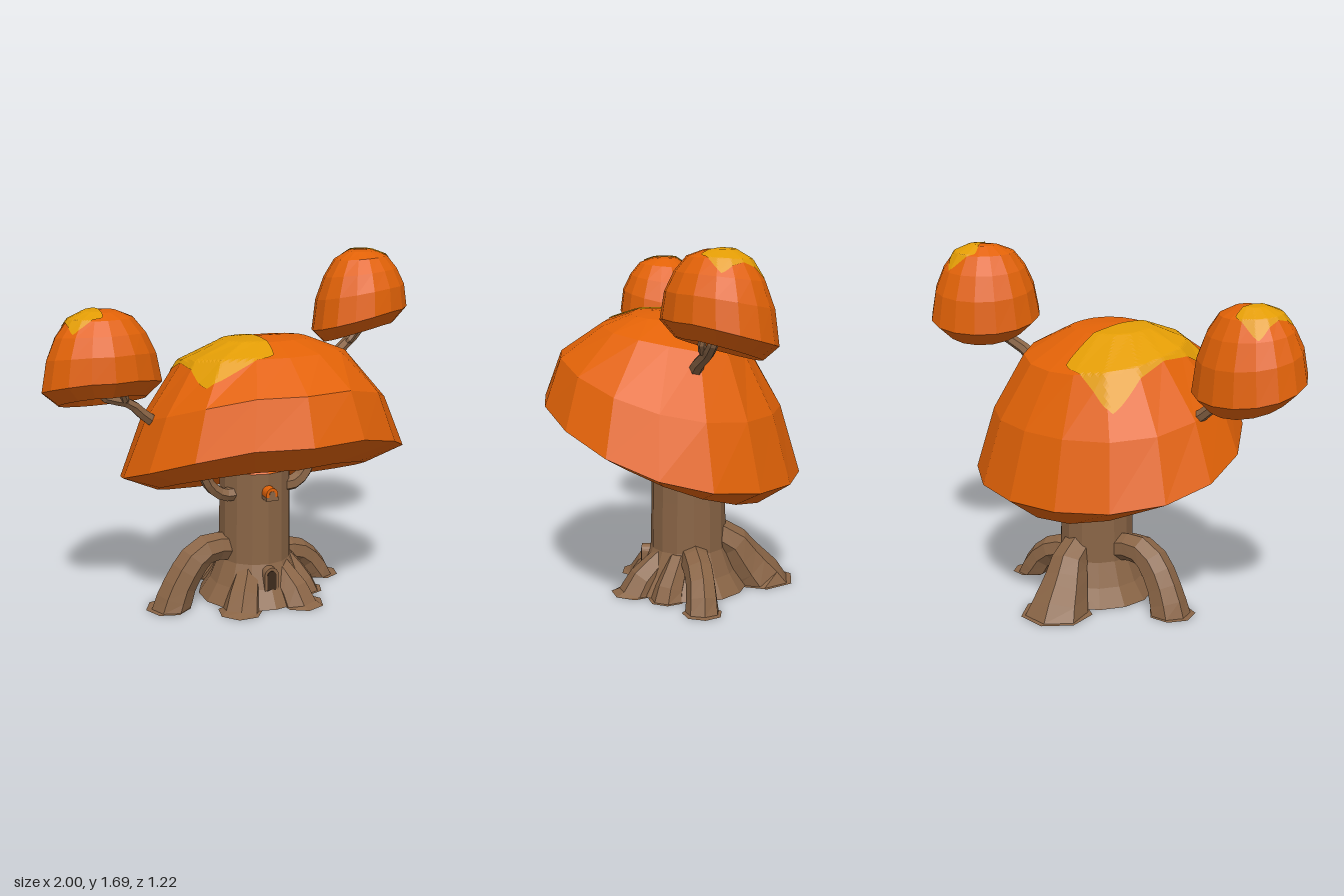
import * as THREE from 'three';

const mat = (name, color, double) => {
  const m = new THREE.MeshStandardMaterial({ color, flatShading: true });
  m.name = name;
  if (double) m.side = THREE.DoubleSide;
  return m;
};

// Closed dome from rings [rx, rz, y, tilt, sag, zOffset, squareness], hollow centre to crown;
// the raised front edge is kept level
function domeGeometry(rings, sides) {
  const pos = [], index = [];
  for (const [rx, rz, y, tilt = 0, sag = 0, z0 = 0, square = 0] of rings) {
    for (let j = 0; j < sides; j++) {
      const t = (j / sides) * Math.PI * 2, c = Math.min(Math.cos(t), 0.92);
      const f = 1 + square * Math.sin(2 * t) ** 2;
      pos.push(Math.sin(t) * rx * f, y + tilt * c + sag * c * c, z0 + Math.cos(t) * rz * f);
    }
  }
  for (let i = 0; i < rings.length - 1; i++) {
    for (let j = 0; j < sides; j++) {
      const k = (j + 1) % sides;
      const a = i * sides + j, b = i * sides + k, c = a + sides, d = b + sides;
      index.push(a, b, d, a, d, c);
    }
  }
  const g = new THREE.BufferGeometry();
  g.setAttribute('position', new THREE.Float32BufferAttribute(pos, 3));
  g.setIndex(index);
  g.computeVertexNormals();
  return g;
}

// Thin patch draped over a dome
function drapedPatch(dome, x, z, w, d) {
  const g = new THREE.PlaneGeometry(w, d, 30, 40).rotateX(-Math.PI / 2);
  const p = g.attributes.position, ray = new THREE.Raycaster();
  const down = new THREE.Vector3(0, -1, 0);
  for (let i = 0; i < p.count; i++) {
    const u = p.getX(i) / (w / 2), v = p.getZ(i) / (d / 2);
    const px = x + p.getX(i) * (1 - 0.1 * v ** 6), pz = z + p.getZ(i) * (1 - 0.06 * u ** 6);
    ray.set(new THREE.Vector3(px, 5, pz), down);
    const hit = ray.intersectObject(dome)[0];
    p.setXYZ(i, px, (hit ? hit.point.y : 0) + 0.006, pz);
  }
  g.computeVertexNormals();
  return g;
}

// Tapered limb along points [x, y, z, radius], closed at both ends, cut flat at the ground
function limbGeometry(points, sides = 7) {
  const curve = new THREE.CatmullRomCurve3(points.map(([x, y, z]) => new THREE.Vector3(x, y, z)));
  const n = points.length - 1, seg = n * 2;
  const g = new THREE.TubeGeometry(curve, seg, 1, sides, false);
  const p = g.attributes.position, v = new THREE.Vector3();
  for (let i = 0; i <= seg; i++) {
    const c = curve.getPointAt(i / seg);
    const f = (i / seg) * n, k = Math.min(Math.floor(f), n - 1);
    const r = i === 0 || i === seg ? 0 : THREE.MathUtils.lerp(points[k][3], points[k + 1][3], f - k);
    for (let j = 0; j <= sides; j++) {
      const id = i * (sides + 1) + j;
      v.fromBufferAttribute(p, id).sub(c).multiplyScalar(r).add(c);
      p.setXYZ(id, v.x, Math.max(v.y, 0.004), v.z);
    }
  }
  g.computeVertexNormals();
  return g;
}

// Round-topped slab standing on y = 0
function archGeometry(halfWidth, height, depth) {
  const s = new THREE.Shape();
  s.moveTo(-halfWidth, 0);
  s.lineTo(halfWidth, 0);
  s.lineTo(halfWidth, height - halfWidth);
  s.absarc(0, height - halfWidth, halfWidth, 0, Math.PI, false);
  s.closePath();
  return new THREE.ExtrudeGeometry(s, { depth, bevelEnabled: false, curveSegments: 6 });
}

export function createModel() {
  const model = new THREE.Group();
  model.name = 'mushroomTree';
  const orange = mat('orange cap', 0xe26207);
  const yellow = mat('yellow patch', 0xe29c05, true);
  const bark = mat('brown bark', 0x8a6546);
  const dark = mat('dark opening', 0x3d2b1d);

  const add = (name, geometry, material, parent = model) => {
    const m = new THREE.Mesh(geometry, material);
    m.name = name;
    parent.add(m);
    return m;
  };

  // Main cap
  const mainCap = new THREE.Group();
  mainCap.name = 'mainCap';
  mainCap.position.x = 0.1;
  model.add(mainCap);
  const mainDome = add('mainDome', domeGeometry([
    [0, 0, 0.74],
    [0.17, 0.15, 0.75, 0.05],
    [0.31, 0.275, 0.72, 0.1],
    [0.52, 0.445, 0.63, 0.168],
    [0.706, 0.608, 0.7, 0.188, 0.068, 0.003],
    [0.595, 0.52, 0.97, 0.135, 0.065, 0.01, 0.02],
    [0.4, 0.345, 1.235, 0.065, -0.01, -0.015, 0.06],
    [0.21, 0.16, 1.325, 0.012, 0, 0.03, 0.08],
    [0, 0, 1.342, 0, 0, 0.04],
  ], 16), orange, mainCap);
  add('mainPatch', drapedPatch(mainDome, -0.23, -0.005, 0.36, 0.65), yellow, mainCap);

  // Two small caps on branches
  const smallCap = (name, position, yaw, side) => {
    const cap = new THREE.Group();
    cap.name = name;
    const dome = add('smallDome', domeGeometry([
      [0, 0, 0.02],
      [0.13, 0.11, 0, 0.03],
      [0.2, 0.175, -0.065, 0.06],
      [0.276, 0.235, 0, 0.068, 0.005],
      [0.25, 0.22, 0.14, 0.045],
      [0.207, 0.18, 0.24, 0.025],
      [0.15, 0.13, 0.315, 0.01],
      [0.075, 0.065, 0.348],
      [0, 0, 0.354],
    ], 16), orange, cap);
    add('smallPatch', drapedPatch(dome, side * 0.085, -0.005, 0.15, 0.24), yellow, cap);
    cap.position.set(...position);
    cap.rotation.y = yaw;
    model.add(cap);
  };
  smallCap('rightSmallCap', [-0.724, 1.172, 0.11], 0, -1);
  smallCap('leftSmallCap', [0.742, 1.33, -0.245], 0.7, 1);

  // Trunk with flared foot, and the collar under the cap
  const trunk = add('trunk', new THREE.LatheGeometry([
    [0, 0.004], [0.285, 0.004], [0.228, 0.09], [0.182, 0.205], [0.178, 0.45], [0.176, 0.67], [0, 0.67],
  ].map(([x, y]) => new THREE.Vector2(x, y)), 14), bark);
  trunk.position.set(0.095, 0, -0.075);
  const collar = add('collar', new THREE.CylinderGeometry(0.13, 0.182, 0.06, 14), orange);
  collar.position.set(0.095, 0.7, -0.075);

  // Roots
  [
    ['rightRoot', [[0.02, 0.24, -0.07, 0.07], [-0.1, 0.275, -0.05, 0.07], [-0.21, 0.265, -0.03, 0.08],
      [-0.29, 0.18, -0.02, 0.085], [-0.35, 0.06, -0.02, 0.1], [-0.4, -0.16, -0.02, 0.13]]],
    ['leftRoot', [[0.15, 0.17, -0.1, 0.08], [0.27, 0.18, -0.12, 0.07], [0.38, 0.14, -0.15, 0.07],
      [0.46, 0.05, -0.165, 0.08], [0.53, -0.16, -0.17, 0.11]]],
    ['backRoot', [[0.09, 0.26, -0.15, 0.08], [0.07, 0.23, -0.26, 0.09], [0.03, 0.1, -0.34, 0.12],
      [0, 0, -0.4, 0.16], [-0.01, -0.2, -0.43, 0.19]]],
    ['frontRightRoot', [[0.05, 0.22, -0.04, 0.05], [0.005, 0.13, 0.05, 0.07], [-0.05, 0.03, 0.13, 0.095],
      [-0.09, -0.16, 0.18, 0.13]]],
    ['frontLeftRoot', [[0.15, 0.22, -0.03, 0.05], [0.19, 0.13, 0.06, 0.07], [0.23, 0.03, 0.14, 0.095],
      [0.26, -0.16, 0.19, 0.13]]],
    ['sideLeftRoot', [[0.2, 0.22, -0.06, 0.05], [0.27, 0.13, -0.03, 0.06], [0.32, 0.03, 0, 0.08],
      [0.35, -0.16, 0.01, 0.1]]],
  ].forEach(([name, points]) => add(name, limbGeometry(points), bark));

  // Brackets under the cap and branches to the small caps
  [
    ['rightBracket', [[0, 0.56, 0, 0.035], [-0.1, 0.56, 0, 0.035], [-0.17, 0.61, 0.01, 0.032],
      [-0.21, 0.68, 0.02, 0.03], [-0.25, 0.73, 0.02, 0.025]]],
    ['leftBracket', [[0.18, 0.58, 0.01, 0.04], [0.27, 0.59, 0.02, 0.04], [0.33, 0.65, 0.02, 0.037],
      [0.36, 0.74, 0.02, 0.035], [0.39, 0.8, 0.02, 0.03]]],
    ['rightBranch', [[-0.4, 0.94, 0.04, 0.035], [-0.5, 1.0, 0.06, 0.03], [-0.59, 1.08, 0.08, 0.026],
      [-0.71, 1.12, 0.1, 0.022], [-0.76, 1.18, 0.11, 0.02], [-0.77, 1.25, 0.11, 0.018]]],
    ['rightTwig', [[-0.59, 1.08, 0.08, 0.022], [-0.63, 1.13, 0.12, 0.018], [-0.62, 1.23, 0.14, 0.014]]],
    ['leftBranch', [[0.48, 1.1, -0.12, 0.035], [0.56, 1.17, -0.15, 0.03], [0.64, 1.22, -0.19, 0.027],
      [0.73, 1.28, -0.22, 0.023], [0.76, 1.38, -0.25, 0.02]]],
    ['leftTwig', [[0.62, 1.21, -0.18, 0.022], [0.68, 1.27, -0.17, 0.018], [0.69, 1.36, -0.19, 0.014]]],
  ].forEach(([name, points]) => add(name, limbGeometry(points, 6), bark));

  // Door and window
  const place = (mesh, y, z) => mesh.position.set(0.095, y, z);
  place(add('doorFrame', archGeometry(0.036, 0.19, 0.09), bark), 0.01, 0.06);
  place(add('doorOpening', archGeometry(0.023, 0.11, 0.004), dark), 0.075, 0.149);
  place(add('windowFrame', archGeometry(0.03, 0.06, 0.07), orange), 0.55, 0.08);
  place(add('windowOpening', archGeometry(0.015, 0.04, 0.003), bark), 0.555, 0.15);
  place(add('windowSill', new THREE.BoxGeometry(0.064, 0.018, 0.07), bark), 0.556, 0.118);

  return model;
}
